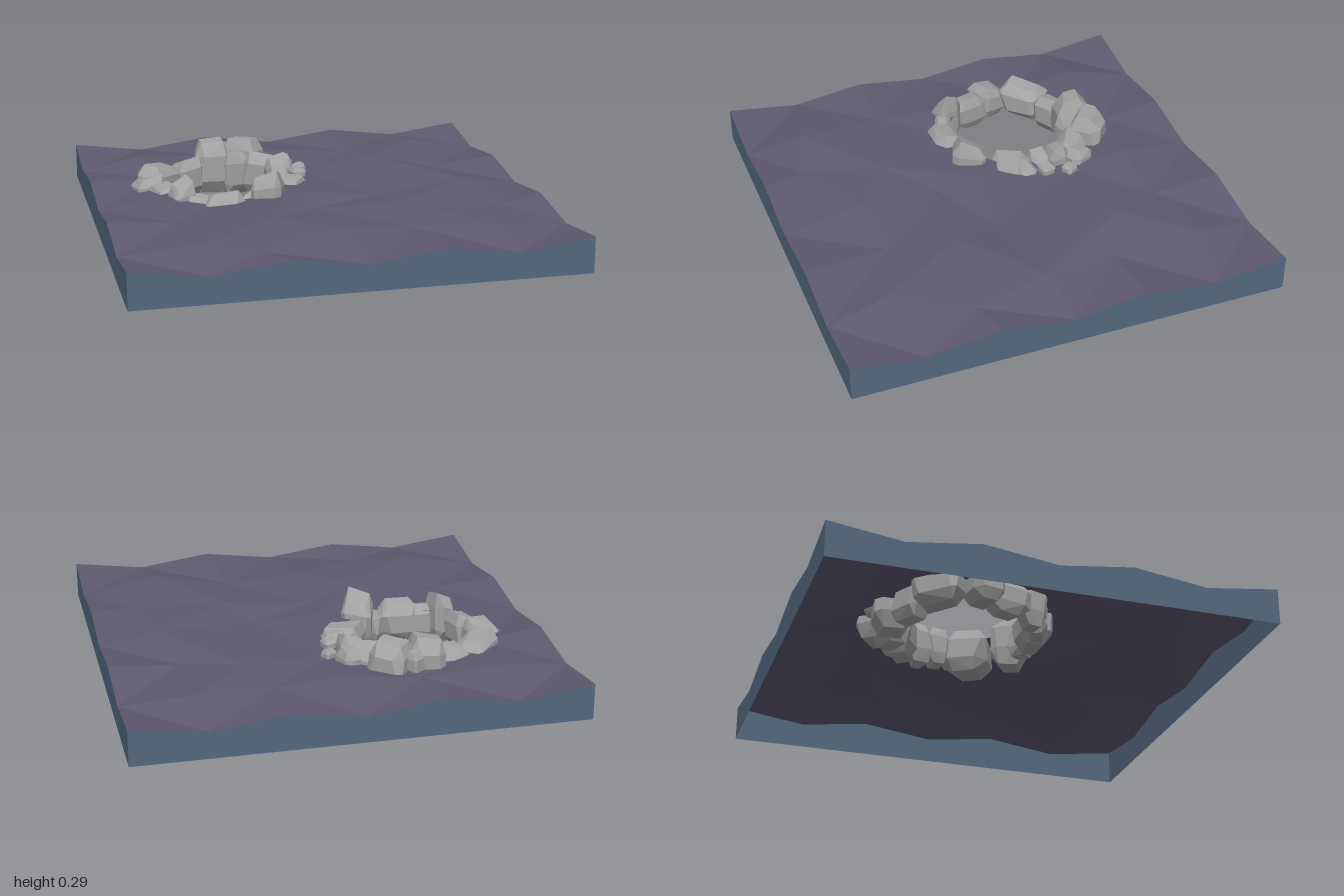
import * as THREE from 'three';
import { ConvexGeometry } from 'three/addons/geometries/ConvexGeometry.js';

const N = 6;
const BASE = 0.015;

// Small seeded generator
function seeded(seed) {
  let s = seed;
  return () => {
    s = (s * 16807) % 2147483647;
    return s / 2147483647;
  };
}

// Jittered grid of alternating crests and dips, straight along the borders
function groundPoints() {
  const rnd = seeded(77);
  const moved = {
    '1,4': [-0.69, 0.33], '2,4': [-0.28, 0.44], '3,4': [-0.05, 0.26], '5,4': [0.8, 0.38],
    '2,5': [-0.4, 0.8], '3,5': [-0.04, 0.61], '5,5': [0.63, 0.74],
    '4,3': [0.27, 0.1], '3,1': [0, -0.67], '4,1': [0.33, -0.67], '4,2': [0.42, -0.45],
  };
  const grid = [];
  for (let i = 0; i <= N; i++) {
    grid.push([]);
    for (let j = 0; j <= N; j++) {
      const inner = i > 0 && j > 0 && i < N && j < N;
      const jit = () => (inner ? (rnd() - 0.5) * 0.12 : 0);
      const [x, z] = moved[`${i},${j}`] || [-1 + (2 * i) / N + jit(), -1 + (2 * j) / N + jit()];
      const dip = inner ? 0.145 + rnd() * 0.015 : 0.135;
      grid[i].push(new THREE.Vector3(x, (i + j) % 2 ? dip : 0.18, z));
    }
  }
  return grid;
}

// Keep the part of a polygon where side * f >= 0
function clip(poly, f, side) {
  const out = [];
  poly.forEach((a, k) => {
    const b = poly[(k + 1) % poly.length];
    const da = f(a) * side, db = f(b) * side;
    if (da >= 0) out.push(a);
    if (da * db < 0) out.push(a.clone().lerp(b, da / (da - db)));
  });
  return out;
}

// Pieces of a polygon that lie outside the convex hole
function outsideHole(poly, lines) {
  const pieces = [];
  for (const f of lines) {
    const outer = clip(poly, f, 1);
    if (outer.length > 2) pieces.push(outer);
    poly = clip(poly, f, -1);
    if (poly.length < 3) break;
  }
  return pieces;
}

function meshFrom(polys, color, name) {
  const pos = [];
  for (const p of polys) {
    for (let k = 1; k < p.length - 1; k++) {
      for (const v of [p[0], p[k], p[k + 1]]) pos.push(v.x, v.y, v.z);
    }
  }
  const geo = new THREE.BufferGeometry();
  geo.setAttribute('position', new THREE.Float32BufferAttribute(pos, 3));
  geo.computeVertexNormals();
  const mat = new THREE.MeshStandardMaterial({ color, flatShading: true, side: THREE.DoubleSide });
  const mesh = new THREE.Mesh(geo, mat);
  mesh.name = name;
  return mesh;
}

// Boulder: hull of a tapered box with irregularly cut corners and a slanted top
function rockGeometry(w, h, d, rnd) {
  const pts = [];
  const slantX = (rnd() - 0.5) * 0.3, slantZ = (rnd() - 0.5) * 0.3;
  for (const sx of [-1, 1]) for (const sy of [-1, 1]) for (const sz of [-1, 1]) {
    const taper = sy > 0 ? 0.65 + rnd() * 0.25 : 0.65 + rnd() * 0.2;
    const rise = sy > 0 ? 1 - Math.abs(slantX) - Math.abs(slantZ) + sx * slantX + sz * slantZ : 1;
    const cut = 0.4 + rnd() * 0.5;
    const add = (a, b, c) =>
      pts.push(new THREE.Vector3((sx * a * w) / 2, (sy * b * h) / 2, (sz * c * d) / 2));
    add(taper * 0.9, rise, taper * cut);
    add(1, 0.45 * rise, cut);
    add(cut, 0.5 * rise, 1);
  }
  return new ConvexGeometry(pts);
}

// x, z, length, width, turn, bottom, top
const ROCKS = [
  [-0.66, -0.42, 0.22, 0.15, 0.8, 0.04, 0.23],
  [-0.51, -0.51, 0.15, 0.12, 0.5, 0.03, 0.22],
  [-0.38, -0.56, 0.16, 0.17, -0.1, 0.03, 0.29],
  [-0.31, -0.63, 0.07, 0.07, 0.6, 0.13, 0.25],
  [-0.27, -0.53, 0.15, 0.14, 0.3, 0.02, 0.24],
  [-0.21, -0.58, 0.17, 0.15, -0.7, 0.06, 0.29],
  [-0.14, -0.46, 0.18, 0.14, -0.6, 0.03, 0.24],
  [-0.06, -0.46, 0.11, 0.13, 0.4, 0.08, 0.22],
  [-0.09, -0.36, 0.12, 0.11, 0.1, 0.03, 0.25],
  [-0.1, -0.28, 0.11, 0.09, 0, 0.03, 0.21],
  [-0.11, -0.13, 0.18, 0.2, -0.5, 0.0, 0.2],
  [-0.05, -0.19, 0.12, 0.11, 0.1, 0.06, 0.19],
  [-0.22, 0.03, 0.14, 0.16, -0.35, 0.01, 0.295],
  [-0.31, 0.06, 0.09, 0.1, 0.7, 0.03, 0.19],
  [-0.43, 0.07, 0.19, 0.14, 0, 0.02, 0.215],
  [-0.54, 0.05, 0.14, 0.1, -0.3, 0.02, 0.2],
  [-0.62, 0.0, 0.1, 0.13, 0.3, 0.02, 0.27],
  [-0.68, -0.13, 0.11, 0.2, 0.25, 0.03, 0.205],
  [-0.73, -0.25, 0.15, 0.14, 0.2, 0.05, 0.22],
  [0.02, -0.385, 0.06, 0.06, 0.5, 0.13, 0.19],
  [-0.01, -0.28, 0.07, 0.07, 0.2, 0.13, 0.2],
];

export function createModel() {
  const model = new THREE.Group();
  const grid = groundPoints();

  // Convex hole hidden beneath the ring of rocks
  const hole = [];
  for (let k = 0; k < 10; k++) {
    const a = (k / 10) * Math.PI * 2;
    hole.push([-0.39 + 0.31 * Math.cos(a), -0.25 + 0.31 * Math.sin(a)]);
  }
  const lines = hole.map(([x, z], k) => {
    const [x2, z2] = hole[(k + 1) % hole.length];
    return (p) => (z2 - z) * (p.x - x) - (x2 - x) * (p.z - z);
  });

  // Ground surface: border cells split along the dips, inner cells along the shorter diagonal
  const ground = [];
  for (let i = 0; i < N; i++) for (let j = 0; j < N; j++) {
    const a = grid[i][j], b = grid[i][j + 1], c = grid[i + 1][j + 1], d = grid[i + 1][j];
    const border = i === 0 || j === 0 || i === N - 1 || j === N - 1;
    const splitAC = border ? (i + j) % 2 === 1 : a.distanceTo(c) < b.distanceTo(d);
    const tris = splitAC ? [[a, b, c], [a, c, d]] : [[a, b, d], [b, c, d]];
    for (const t of tris) ground.push(...outsideHole(t, lines));
  }
  model.add(meshFrom(ground, 0x5f596f, 'ground'));

  // Side walls down to the open underside
  const walls = [];
  const wall = (a, b) => {
    const low = (p) => new THREE.Vector3(p.x, BASE, p.z);
    walls.push([low(a), low(b), b, a]);
  };
  for (let k = 0; k < N; k++) {
    wall(grid[k][N], grid[k + 1][N]);
    wall(grid[k + 1][0], grid[k][0]);
    wall(grid[N][k + 1], grid[N][k]);
    wall(grid[0][k], grid[0][k + 1]);
  }
  model.add(meshFrom(walls, 0x54687f, 'sideWalls'));

  // Ring of boulders around the hole
  const ring = new THREE.Group();
  ring.name = 'rockRing';
  const stone = new THREE.MeshStandardMaterial({ color: 0xa2a2a2, flatShading: true });
  const rnd = seeded(4321);
  for (const [x, z, w, d, turn, low, top] of ROCKS) {
    const rock = new THREE.Mesh(rockGeometry(w, top - low, d, rnd), stone);
    rock.name = 'rock';
    rock.position.set(x, (low + top) / 2, z);
    rock.rotation.y = turn;
    ring.add(rock);
  }
  model.add(ring);
  return model;
}
